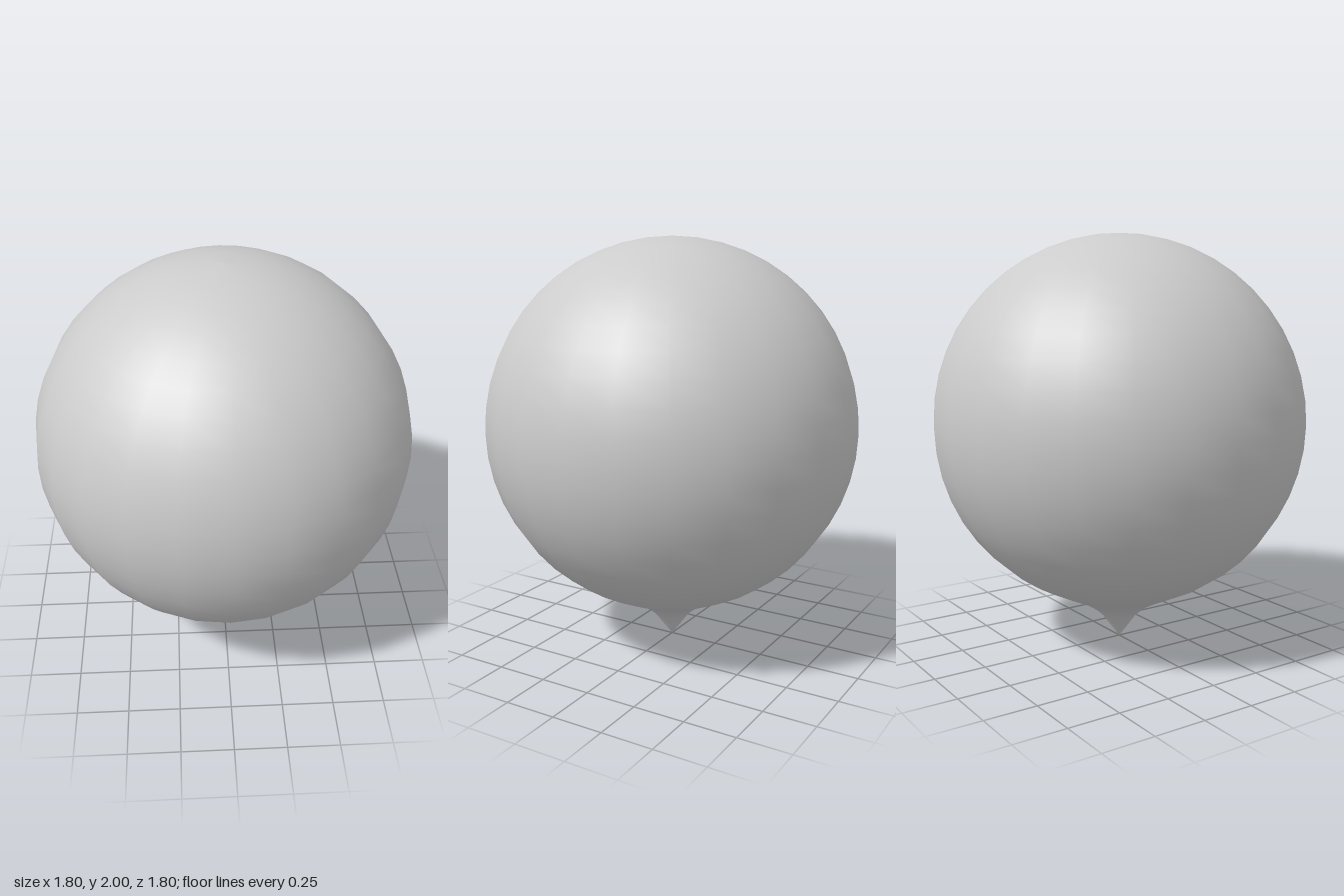
import * as THREE from 'three';

export function createModel() {
  const group = new THREE.Group();
  const radius = 0.9, centerY = 1.1, sides = 24;

  // Pointed neck, flaring out from the tip into the ball
  const profile = [
    [0, 0], [0.043, 0.057], [0.085, 0.115], [0.125, 0.151], [0.172, 0.183], [0.23, 0.214],
  ].map(([x, y]) => new THREE.Vector2(x, y));

  // Round ball, one ring every 7.5 degrees up to the crown
  for (let i = 3; i <= sides; i++) {
    const a = (i / sides) * Math.PI;
    profile.push(new THREE.Vector2(
      i === sides ? 0 : radius * Math.sin(a),
      centerY - radius * Math.cos(a)
    ));
  }

  const balloon = new THREE.Mesh(
    new THREE.LatheGeometry(profile, sides),
    new THREE.MeshStandardMaterial({ color: 0xcccccc })
  );
  balloon.name = 'balloonBody';
  group.add(balloon);
  return group;
}
